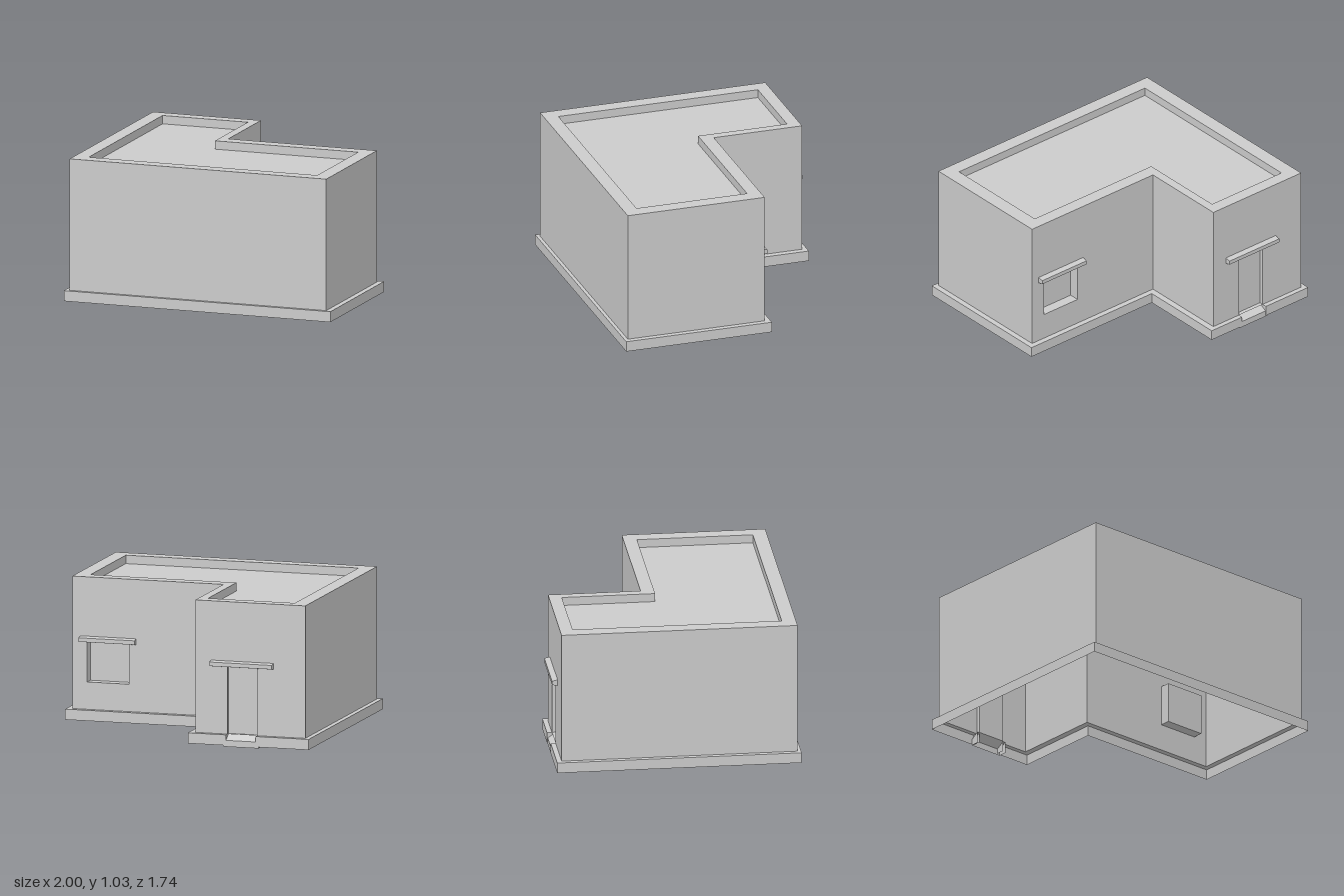
import * as THREE from 'three';

const material = new THREE.MeshStandardMaterial({ color: 0xcccccc, flatShading: true, side: THREE.DoubleSide });

const WINDOW = { edge: 3, x0: 0.54, x1: 0.85, y0: 0.28, y1: 0.575, depth: 0.075 };
const DOOR = { edge: 7, x0: -0.61, x1: -0.39, y0: 0.085, y1: 0.575, depth: 0.03 };

// L-shaped plan, split where the window and the door sit
function outline(x0, x1, z0, z1, nx, nz) {
  return [
    [x0, z1], [x1, z1], [x1, nz], [WINDOW.x1, nz], [WINDOW.x0, nz],
    [nx, nz], [nx, z0], [DOOR.x1, z0], [DOOR.x0, z0], [x0, z0],
  ];
}

// Mesh from a list of four-cornered faces
function quadMesh(name, quads) {
  const positions = [];
  for (const [a, b, c, d] of quads) positions.push(...a, ...b, ...c, ...a, ...c, ...d);
  const geometry = new THREE.BufferGeometry();
  geometry.setAttribute('position', new THREE.Float32BufferAttribute(positions, 3));
  geometry.computeVertexNormals();
  const mesh = new THREE.Mesh(geometry, material);
  mesh.name = name;
  return mesh;
}

// Faces joining one plan at height ya to another at height yb
function ring(lower, ya, upper, yb, skip = []) {
  const at = ([x, z], y) => [x, y, z];
  const quads = [];
  lower.forEach((p, i) => {
    if (skip.includes(i)) return;
    const j = (i + 1) % lower.length;
    quads.push([at(p, ya), at(lower[j], ya), at(upper[j], yb), at(upper[i], yb)]);
  });
  return quads;
}

// Reveals and back of an opening in a wall facing -z
function recess(name, { x0, x1, y0, y1, depth }, z) {
  const corners = [[x1, y0], [x0, y0], [x0, y1], [x1, y1]];
  const at = ([x, y], zz) => [x, y, zz];
  const quads = corners.map((p, i) => {
    const q = corners[(i + 1) % 4];
    return [at(p, z), at(q, z), at(q, z + depth), at(p, z + depth)];
  });
  quads.push(corners.map((p) => at(p, z + depth)));
  return quadMesh(name, quads);
}

// Projecting lintel, thinner at its outer edge
function lintel(name, x0, x1, z) {
  const geometry = new THREE.BoxGeometry(x1 - x0, 0.044, 0.04).toNonIndexed();
  const p = geometry.attributes.position;
  for (let i = 0; i < p.count; i++) if (p.getZ(i) < 0) p.setY(i, p.getY(i) * 0.65);
  geometry.computeVertexNormals();
  const mesh = new THREE.Mesh(geometry, material);
  mesh.name = name;
  mesh.position.set((x0 + x1) / 2, 0.585, z - 0.02);
  return mesh;
}

export function createModel() {
  const house = new THREE.Group();
  house.name = 'flatRoofHouse';

  const base = outline(-1, 1, -0.865, 0.865, -0.11, -0.215);
  const wall = outline(-0.965, 0.96, -0.83, 0.84, -0.155, -0.175);
  const roof = outline(-0.86, 0.855, -0.74, 0.74, -0.22, -0.08);
  // keep the inner rim's split points on its own straight edges
  const baseY = 0.01, ledgeY = 0.085, topY = 1.03, roofY = 0.97;

  // Plinth band with its ledge, open at the door
  house.add(quadMesh('plinth', [
    ...ring(base, baseY, base, ledgeY, [DOOR.edge]),
    ...ring(base, ledgeY, wall, ledgeY, [DOOR.edge]),
  ]));

  // Walls, with pieces above and below the openings
  const quads = ring(wall, ledgeY, wall, topY, [WINDOW.edge, DOOR.edge]);
  const only = (edge) => wall.map((_, i) => i).filter((i) => i !== edge);
  quads.push(
    ...ring(wall, ledgeY, wall, WINDOW.y0, only(WINDOW.edge)),
    ...ring(wall, WINDOW.y1, wall, topY, only(WINDOW.edge)),
    ...ring(wall, DOOR.y1, wall, topY, only(DOOR.edge)),
  );
  house.add(quadMesh('walls', quads));

  // Parapet rim and its inner face
  house.add(quadMesh('parapet', [
    ...ring(wall, topY, roof, topY),
    ...ring(roof, topY, roof, roofY),
  ]));

  // Flat roof
  const shape = new THREE.Shape(roof.map(([x, z]) => new THREE.Vector2(x, -z)));
  const deck = new THREE.Mesh(new THREE.ShapeGeometry(shape).rotateX(-Math.PI / 2), material);
  deck.name = 'roofDeck';
  deck.position.y = roofY;
  house.add(deck);

  // Openings and lintels
  house.add(recess('windowRecess', WINDOW, -0.175));
  house.add(recess('doorRecess', DOOR, -0.83));
  house.add(lintel('windowLintel', 0.49, 0.9, -0.175));
  house.add(lintel('doorLintel', -0.73, -0.27, -0.83));

  // Sloped doorstep between two cheeks
  const [l, r, zf, zb] = [-0.63, -0.37, -0.86, -0.8];
  const step = [
    [[r, 0, zf], [l, 0, zf], [l, 0.045, zf], [r, 0.045, zf]],
    [[r, 0.045, zf], [l, 0.045, zf], [l, 0.083, zb], [r, 0.083, zb]],
  ];
  for (const x of [l, r]) step.push([[x, 0, zf], [x, 0, zb], [x, 0.083, zb], [x, 0.045, zf]]);
  for (const x of [DOOR.x0, DOOR.x1]) {
    step.push([[x, baseY, -0.865], [x, baseY, zb], [x, ledgeY, zb], [x, ledgeY, -0.865]]);
  }
  house.add(quadMesh('doorstep', step));

  return house;
}
